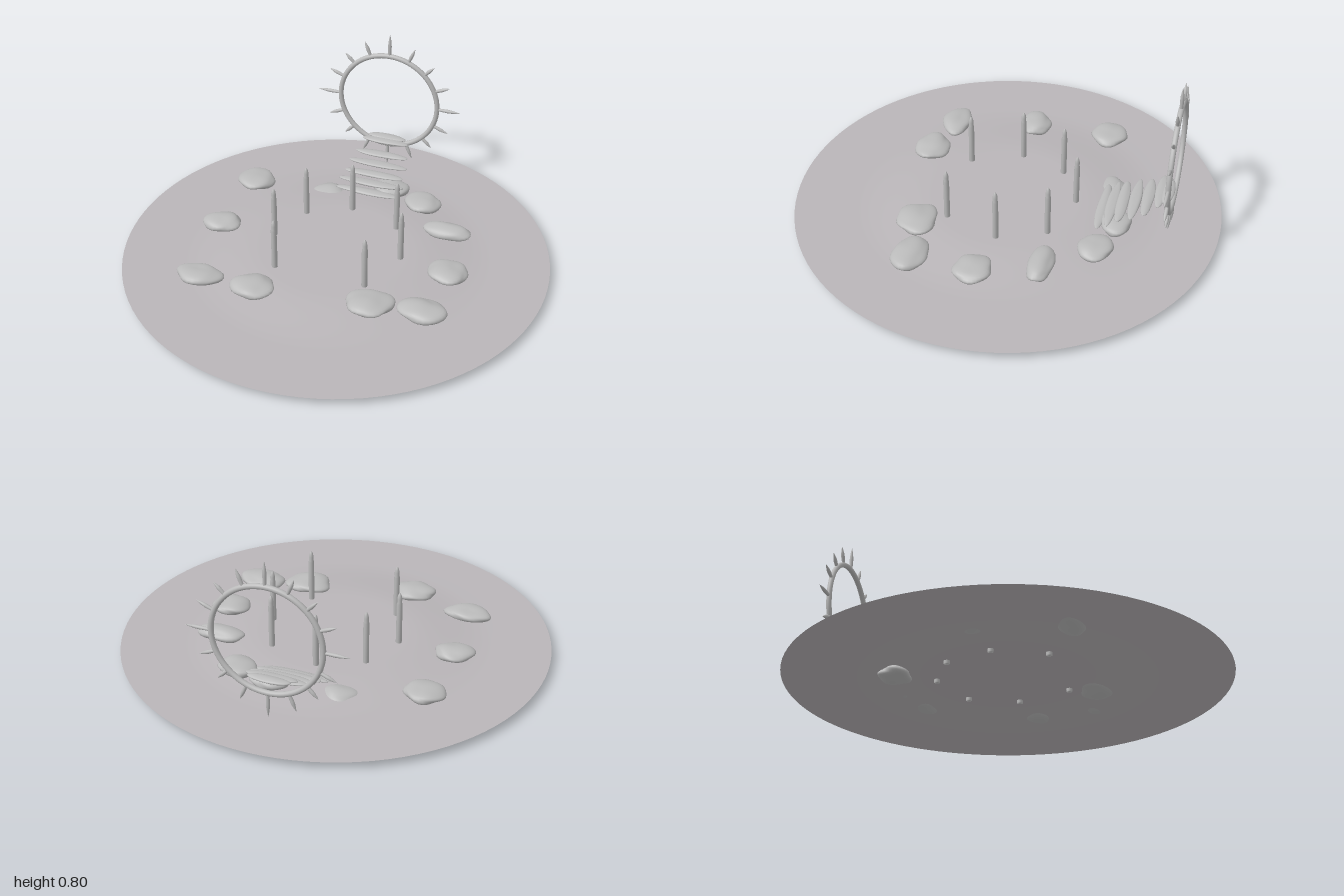
import * as THREE from 'three';
import { mergeVertices } from 'three/addons/utils/BufferGeometryUtils.js';

const groundMat = new THREE.MeshStandardMaterial({ name: 'ground grey', color: 0xb9b5b8, side: THREE.DoubleSide });
const stoneMat = new THREE.MeshStandardMaterial({ name: 'stone grey', color: 0xbababa });

function add(parent, name, geometry, material, x = 0, y = 0, z = 0) {
  const mesh = new THREE.Mesh(geometry, material);
  mesh.name = name;
  mesh.position.set(x, y, z);
  parent.add(mesh);
  return mesh;
}

function lathe(points, segments) {
  return new THREE.LatheGeometry(points.map(([r, y]) => new THREE.Vector2(r, y)), segments);
}

// Flattened, gently lumpy boulder; the seed shifts the lumps
function stoneGeometry(rx, ry, rz, seed, lump = 0.07) {
  let g = new THREE.SphereGeometry(1, 28, 18);
  g.deleteAttribute('uv');
  g.deleteAttribute('normal');
  g = mergeVertices(g);
  const p = g.attributes.position;
  const v = new THREE.Vector3();
  for (let i = 0; i < p.count; i++) {
    v.fromBufferAttribute(p, i);
    const n = Math.sin(v.x * 3.1 + seed * 1.7) * Math.cos(v.z * 2.7 + seed * 2.3)
      + 0.6 * Math.sin(v.z * 4.3 + v.y * 3 + seed * 3.1) + 0.4 * Math.sin(v.x * 5.7 - v.y * 4 + seed);
    v.multiplyScalar(1 + lump * n);
    p.setXYZ(i, v.x * rx, v.y * ry, v.z * rz);
  }
  g.computeVertexNormals();
  return g;
}

export function createModel() {
  const model = new THREE.Group();
  model.name = 'stoneCircleWithPortal';

  // Thin disc with a low rounded plateau
  const profile = [[1, 0.03], [0.72, 0.03]];
  for (let i = 1; i <= 10; i++) {
    const t = i / 10;
    profile.push([0.72 - 0.38 * t, 0.03 + 0.033 * t * t * (3 - 2 * t)]);
  }
  profile.push([0, 0.063]);
  add(model, 'ground', lathe(profile, 96), groundMat);

  // Boulders: x, y, z, half width, half depth
  const boulders = new THREE.Group();
  boulders.name = 'boulders';
  model.add(boulders);
  [
    [-0.56, 0.08, -0.38, 0.09, 0.085],
    [-0.58, 0.07, 0, 0.09, 0.075],
    [-0.525, 0.05, 0.395, 0.108, 0.07],
    [-0.24, 0.093, 0.44, 0.1, 0.083],
    [0.285, 0.073, 0.355, 0.112, 0.094],
    [0.52, 0.069, 0.32, 0.115, 0.08],
    [0.55, 0.07, 0.02, 0.095, 0.088],
    [0.465, 0.09, -0.265, 0.12, 0.06],
    [0.28, 0.07, -0.475, 0.09, 0.08],
    [-0.2, 0.032, -0.46, 0.088, 0.072],
    [0.1, 0.078, -0.535, 0.088, 0.07],
  ].forEach(([x, y, z, rx, rz], i) =>
    add(boulders, 'boulder', stoneGeometry(rx, 0.031, rz, i + 1), stoneMat, x, y, z));

  // Upright posts with a narrow pointed cap
  const posts = new THREE.Group();
  posts.name = 'posts';
  model.add(posts);
  const post = lathe([[0, 0], [0.014, 0], [0.0135, 0.215], [0.011, 0.22],
    [0.0115, 0.24], [0.009, 0.255], [0.004, 0.267], [0, 0.27]], 14);
  [[-0.03, -0.32], [-0.23, -0.217], [0.22, -0.24], [-0.31, 0], [0.31, -0.02],
    [-0.215, 0.235], [0.22, 0.233]].forEach(([x, z]) => add(posts, 'post', post, stoneMat, x, 0.05, z));

  // Floating lens-shaped steps rising to the portal: y, z, half width
  const steps = new THREE.Group();
  steps.name = 'steps';
  model.add(steps);
  [
    [0.232, -0.75, 0.098], [0.226, -0.718, 0.118], [0.182, -0.66, 0.137], [0.158, -0.603, 0.147],
    [0.134, -0.545, 0.155], [0.11, -0.498, 0.16], [0.085, -0.455, 0.165],
  ].forEach(([y, z, rx], i) =>
    add(steps, 'step', stoneGeometry(rx, 0.011, 0.027, i + 20, 0.04), stoneMat, 0.005, y, z));

  // Portal ring with radial spikes, the four main ones longer
  const portal = new THREE.Group();
  portal.name = 'portal';
  portal.position.set(0, 0.43, -0.772);
  model.add(portal);
  add(portal, 'ring', new THREE.TorusGeometry(0.251, 0.0125, 14, 80), stoneMat);
  for (let i = 0; i < 16; i++) {
    const tip = i % 4 === 0 ? 0.37 : i % 2 === 0 ? 0.325 : 0.338;
    const len = tip - 0.25;
    const spike = add(portal, 'spike',
      lathe([[0.007, 0], [0.009, len * 0.45], [0.008, len * 0.62], [0.004, len * 0.85], [0, len]], 10), stoneMat);
    const a = i * Math.PI / 8;
    spike.position.set(Math.cos(a) * 0.25, Math.sin(a) * 0.25, 0);
    spike.rotation.z = a - Math.PI / 2;
  }
  return model;
}
